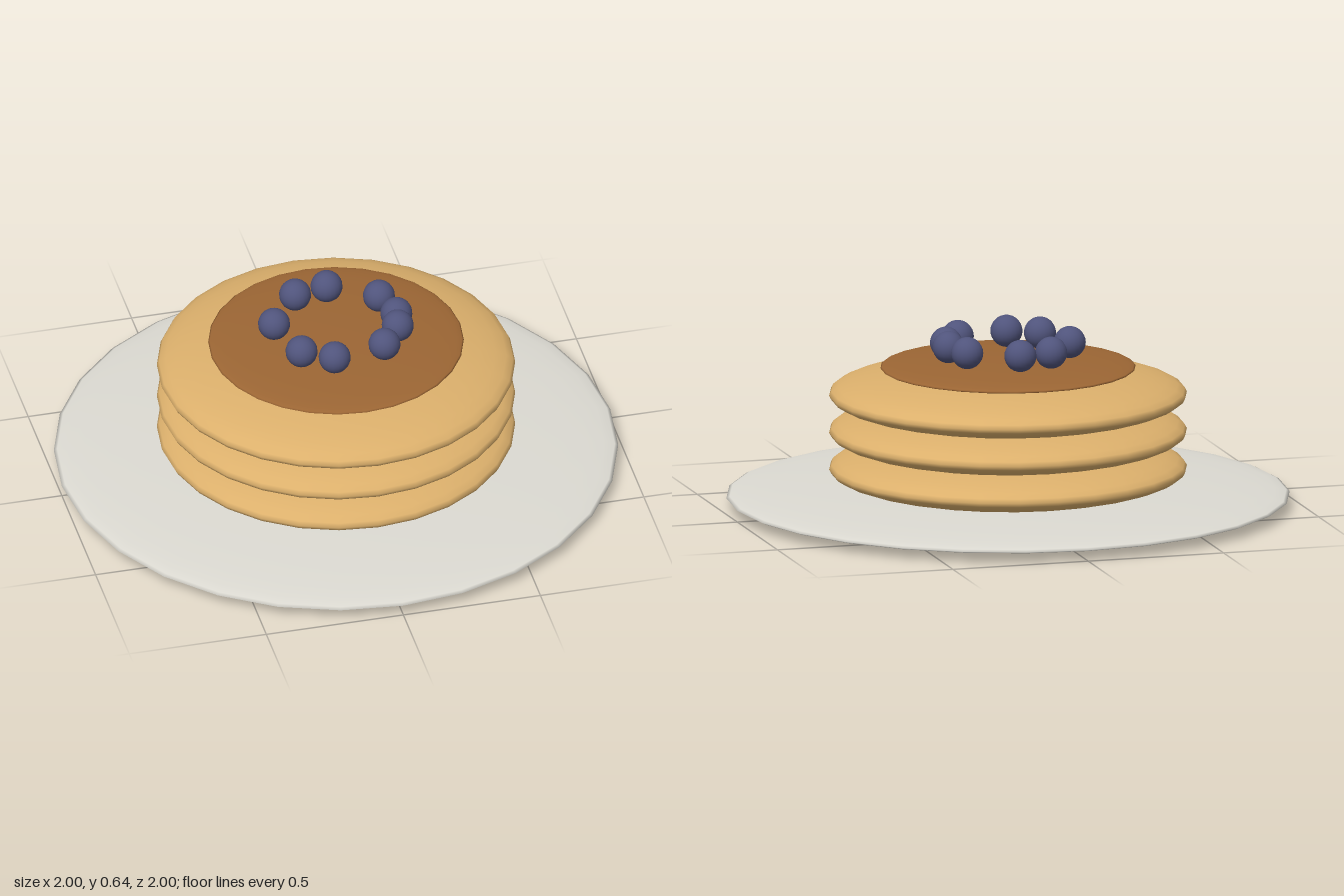
import * as THREE from 'three';

const colour = (name, hex) => {
  const m = new THREE.MeshStandardMaterial({ color: hex });
  m.name = name;
  return m;
};

// A sphere flattened into a rounded disc
function disc(name, radius, halfHeight, y, material) {
  const geometry = new THREE.SphereGeometry(1, 28, 20);
  geometry.scale(radius, halfHeight, radius);
  const mesh = new THREE.Mesh(geometry, material);
  mesh.name = name;
  mesh.position.y = y;
  return mesh;
}

export function createModel() {
  const porcelain = colour('porcelain', 0xdcdad2);
  const batter = colour('golden batter', 0xdcb06c);
  const syrupBrown = colour('syrup brown', 0x9c6634);
  const berryBlue = colour('berry blue', 0x50547c);

  const model = new THREE.Group();
  model.name = 'pancakeStack';

  // Plate
  model.add(disc('plate', 1, 0.04, 0.04, porcelain));

  // Three stacked pancakes
  for (let i = 0; i < 3; i++) {
    model.add(disc(`pancake${i + 1}`, 0.635, 0.095, 0.139 + i * 0.1335, batter));
  }

  // Syrup pool
  model.add(disc('syrup', 0.453, 0.024, 0.503, syrupBrown));

  // Ring of berries, spaced by the golden angle
  const berries = new THREE.Group();
  berries.name = 'berries';
  const berryGeometry = new THREE.SphereGeometry(0.057, 20, 14);
  for (let i = 0; i < 9; i++) {
    const angle = i * 2.4;
    const berry = new THREE.Mesh(berryGeometry, berryBlue);
    berry.name = `berry${i + 1}`;
    berry.position.set(Math.cos(angle) * 0.22, 0.587, Math.sin(angle) * 0.22);
    berries.add(berry);
  }
  model.add(berries);

  return model;
}
